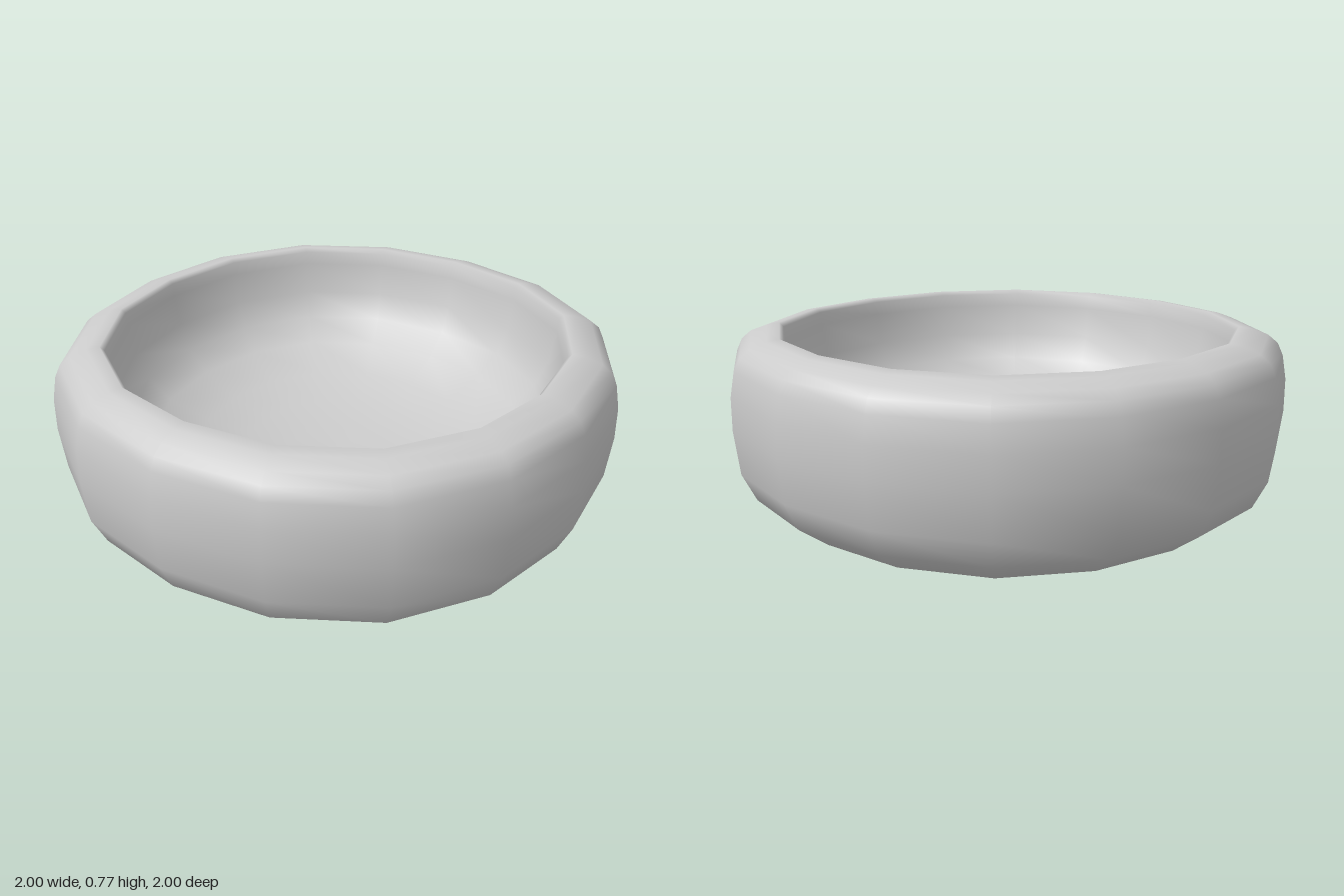
import * as THREE from 'three';

export function createModel() {
  const group = new THREE.Group();
  group.name = 'bowl';

  // Profile: underside centre, up the outer wall, over the rim, down to the inner floor
  const profile = [
    [0, 0], [0.35, 0.02], [0.63, 0.055], [0.82, 0.12], [0.93, 0.2], [0.98, 0.3],
    [1, 0.46], [1, 0.58], [0.985, 0.67], [0.965, 0.715], [0.93, 0.745], [0.87, 0.768],
    [0.825, 0.775], [0.81, 0.76], [0.805, 0.71], [0.785, 0.59], [0.74, 0.49],
    [0.66, 0.41], [0.51, 0.34], [0.35, 0.3], [0.18, 0.28], [0, 0.275],
  ].map(([r, y]) => new THREE.Vector2(r, y));
  const geometry = new THREE.LatheGeometry(profile, 16);

  // Push the diagonals out a little, so the round plan is slightly squared
  const pos = geometry.attributes.position;
  for (let i = 0; i < pos.count; i++) {
    const x = pos.getX(i), z = pos.getZ(i);
    const k = 1 + 0.015 * (1 - Math.cos(4 * Math.atan2(z, x)));
    pos.setX(i, x * k);
    pos.setZ(i, z * k);
  }

  const shell = new THREE.Mesh(geometry, new THREE.MeshStandardMaterial({ color: 0xcccccc }));
  shell.name = 'bowlShell';
  group.add(shell);
  return group;
}
